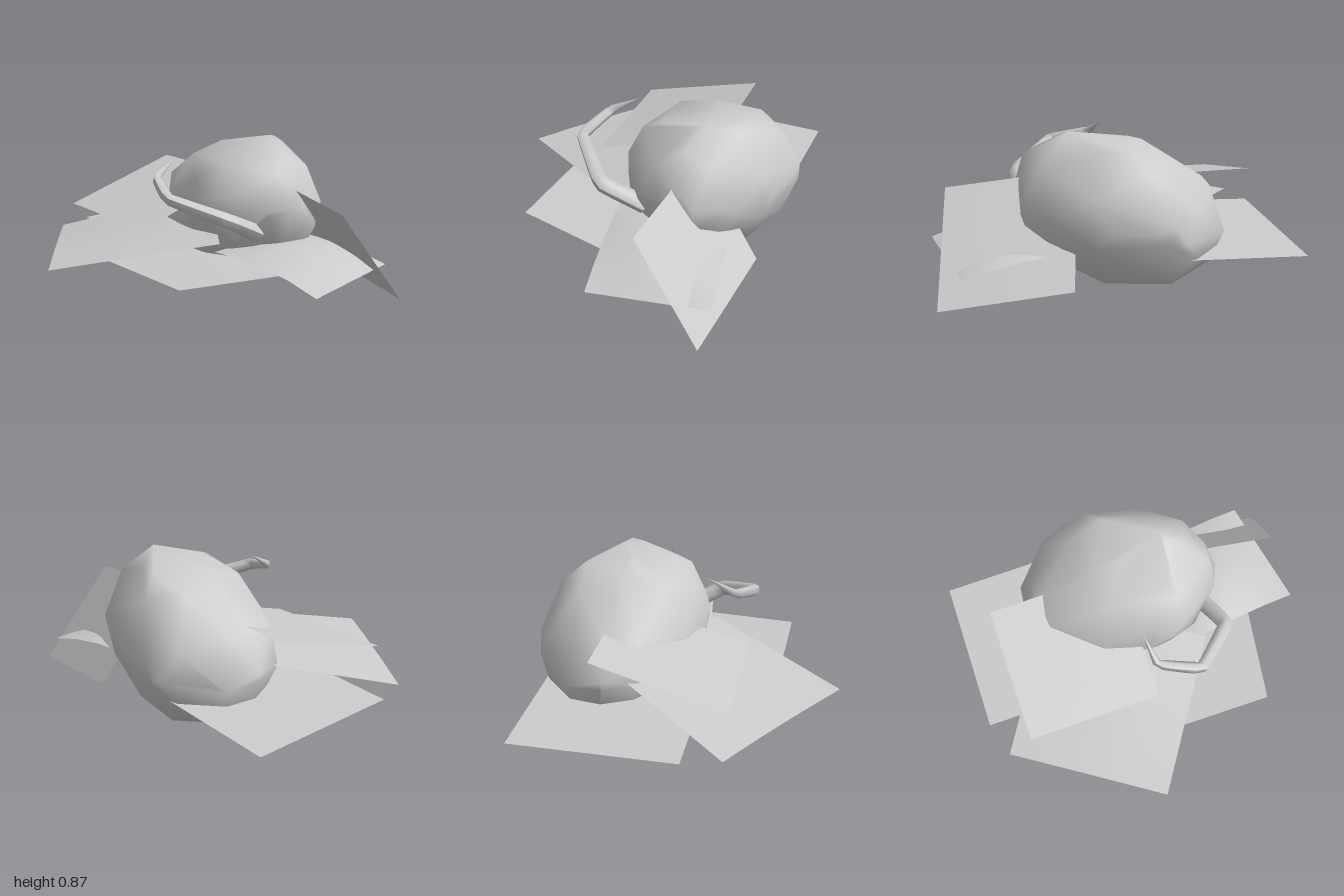
import * as THREE from 'three';
import { ConvexGeometry } from 'three/addons/geometries/ConvexGeometry.js';
import { mergeVertices } from 'three/addons/utils/BufferGeometryUtils.js';

const material = new THREE.MeshStandardMaterial({ color: 0xcccccc });
const leafMaterial = new THREE.MeshStandardMaterial({ color: 0xcccccc, side: THREE.DoubleSide });

// Tilted ellipsoid of the fruit: centre and symmetric shape matrix
const CENTER = [0, 0.43, -0.305];
const SHAPE = [
  [0.281, 0.05, 0.055],
  [0.05, 0.185, 0.025],
  [0.055, 0.025, 0.207],
];

// Convex rim outlines of the fruit in three planes: [first axis, second axis, points]
const OUTLINES = [
  [0, 1, [[-0.28, 0], [-0.4, 0.08], [-0.51, 0.24], [-0.54, 0.38], [-0.46, 0.565], [-0.14, 0.785], [0.25, 0.865],
    [0.38, 0.785], [0.49, 0.62], [0.53, 0.4], [0.4, 0.22], [0.07, 0.05]]],
  [0, 2, [[-0.18, -0.76], [-0.08, -0.76], [0.18, -0.65], [0.43, -0.485], [0.53, -0.28], [0.5, -0.1],
    [0.43, 0.01], [0.2, 0.125], [0.07, 0.15], [-0.04, 0.13], [-0.27, 0.03], [-0.51, -0.22], [-0.54, -0.4], [-0.48, -0.6]]],
  [2, 1, [[0.05, 0.76], [-0.28, 0.865], [-0.52, 0.805], [-0.65, 0.71], [-0.76, 0.47], [-0.76, 0.35],
    [-0.63, 0.1], [-0.32, 0], [-0.13, 0.075], [0.05, 0.22], [0.15, 0.48], [0.15, 0.58]]],
];

// Outermost points of the fruit
const TIPS = [
  [0.25, 0.865, -0.28], [-0.28, 0, -0.32], [0.53, 0.4, -0.28], [-0.54, 0.38, -0.38],
  [-0.46, 0.56, -0.22], [0.07, 0.53, 0.15], [-0.13, 0.41, -0.76],
];

// Places an outline point on the ellipsoid's rim plane to get its third coordinate
function rimPoint(i, j, [u, v]) {
  const k = 3 - i - j;
  const a = u - CENTER[i], b = v - CENTER[j];
  const det = SHAPE[i][i] * SHAPE[j][j] - SHAPE[i][j] ** 2;
  const p = [];
  p[i] = u;
  p[j] = v;
  p[k] = CENTER[k] + (SHAPE[i][k] * (SHAPE[j][j] * a - SHAPE[i][j] * b)
    + SHAPE[j][k] * (SHAPE[i][i] * b - SHAPE[i][j] * a)) / det;
  return p;
}

// Pulls a point towards the centre until it lies inside all three outlines
function pullInside(p) {
  let excess = 1;
  for (const [i, j, list] of OUTLINES) {
    list.forEach(([u, v], n) => {
      const [u2, v2] = list[(n + 1) % list.length];
      const nu = v2 - v, nv = u - u2;
      const reach = nu * (u - CENTER[i]) + nv * (v - CENTER[j]);
      excess = Math.max(excess, (nu * (p[i] - CENTER[i]) + nv * (p[j] - CENTER[j])) / reach);
    });
  }
  return new THREE.Vector3(...p.map((value, k) => CENTER[k] + (value - CENTER[k]) / excess));
}

function fruitGeometry() {
  const points = OUTLINES.flatMap(([i, j, list]) => list.map((p) => rimPoint(i, j, p)));
  // Fill between the rims with a sheared sphere
  const sphere = new THREE.IcosahedronGeometry(1, 1);
  sphere.applyMatrix4(new THREE.Matrix4().set(
    0.53, 0, 0, CENTER[0],
    0.094, 0.42, 0, CENTER[1],
    0.104, 0.036, 0.441, CENTER[2],
    0, 0, 0, 1));
  const pos = sphere.attributes.position;
  for (let i = 0; i < pos.count; i++) points.push([pos.getX(i), pos.getY(i), pos.getZ(i)]);
  let geometry = new ConvexGeometry([...points, ...TIPS].map(pullInside));
  geometry.deleteAttribute('normal');
  geometry = mergeVertices(geometry, 1e-4);
  geometry.computeVertexNormals();
  return geometry;
}

// Four-cornered leaf, corners in order around it, with an optional bulge upwards
function leafGeometry(corners, bulge = 0) {
  const [a, b, c, d] = corners.map((p) => new THREE.Vector3(...p));
  const geometry = new THREE.PlaneGeometry(1, 1, 4, 4);
  const { position, uv } = geometry.attributes;
  for (let i = 0; i < position.count; i++) {
    const u = uv.getX(i), v = uv.getY(i);
    const p = a.clone().lerp(b, u).lerp(d.clone().lerp(c, u), v);
    const lift = bulge * 4 * u * (1 - u) * (0.4 + 2.4 * v * (1 - v));
    position.setXYZ(i, p.x, p.y + lift, p.z);
  }
  geometry.computeVertexNormals();
  return geometry;
}

// Bent stalk that narrows to a point
function stalkGeometry() {
  const path = new THREE.CatmullRomCurve3([
    [0.35, 0.4, 0], [0.365, 0.515, 0.23], [0.1, 0.62, 0.4], [-0.095, 0.68, 0.285], [-0.095, 0.77, 0.13],
  ].map((p) => new THREE.Vector3(...p)), false, 'catmullrom', 0.08);
  const rings = 24, sides = 6;
  const geometry = new THREE.TubeGeometry(path, rings, 0.05, sides);
  const pos = geometry.attributes.position;
  const v = new THREE.Vector3();
  for (let i = 0; i < pos.count; i++) {
    const t = Math.floor(i / (sides + 1)) / rings;
    const scale = t < 0.8 ? 1 - 0.6 * t : 2.6 * (1 - t);
    v.fromBufferAttribute(pos, i);
    v.lerpVectors(path.getPointAt(t), v, scale);
    pos.setXYZ(i, v.x, v.y, v.z);
  }
  geometry.computeVertexNormals();
  return geometry;
}

const LEAVES = {
  backRightLeaf: [[[-1, 0.22, 0], [-0.31, 0.26, 0.14], [-0.15, 0.26, -0.7], [-0.84, 0.22, -0.84]]],
  upperRightLeaf: [[[-0.84, 0.39, 0.23], [-0.13, 0.4, 0.365], [0, 0.6, -0.31], [-0.71, 0.59, -0.44]]],
  frontRightLeaf: [[[-0.98, 0.22, 0.2], [-0.35, 0.25, 0.83], [0.27, 0.37, 0.2], [-0.36, 0.42, -0.43]], 0.02],
  frontLeaf: [[[-0.27, 0.24, 0.505], [0.4, 0.28, 0.65], [0.63, 0.25, 0.05], [-0.04, 0.23, -0.1]]],
  leftLeaf: [[[0.2, 0.3, 0.16], [0.87, 0.22, 0.19], [0.88, 0.23, -0.44], [0.21, 0.27, -0.46]], 0.09],
  steepLeftLeaf: [[[0.36, 0.145, -0.6], [1, 0.075, -0.4], [0.84, 0.58, -0.055], [0.2, 0.65, -0.255]]],
};

export function createModel() {
  const group = new THREE.Group();
  const add = (name, geometry, mat = material) => {
    const mesh = new THREE.Mesh(geometry, mat);
    mesh.name = name;
    group.add(mesh);
  };
  add('fruit', fruitGeometry());
  add('stalk', stalkGeometry());
  for (const [name, [corners, bulge]] of Object.entries(LEAVES)) {
    add(name, leafGeometry(corners, bulge), leafMaterial);
  }
  return group;
}
